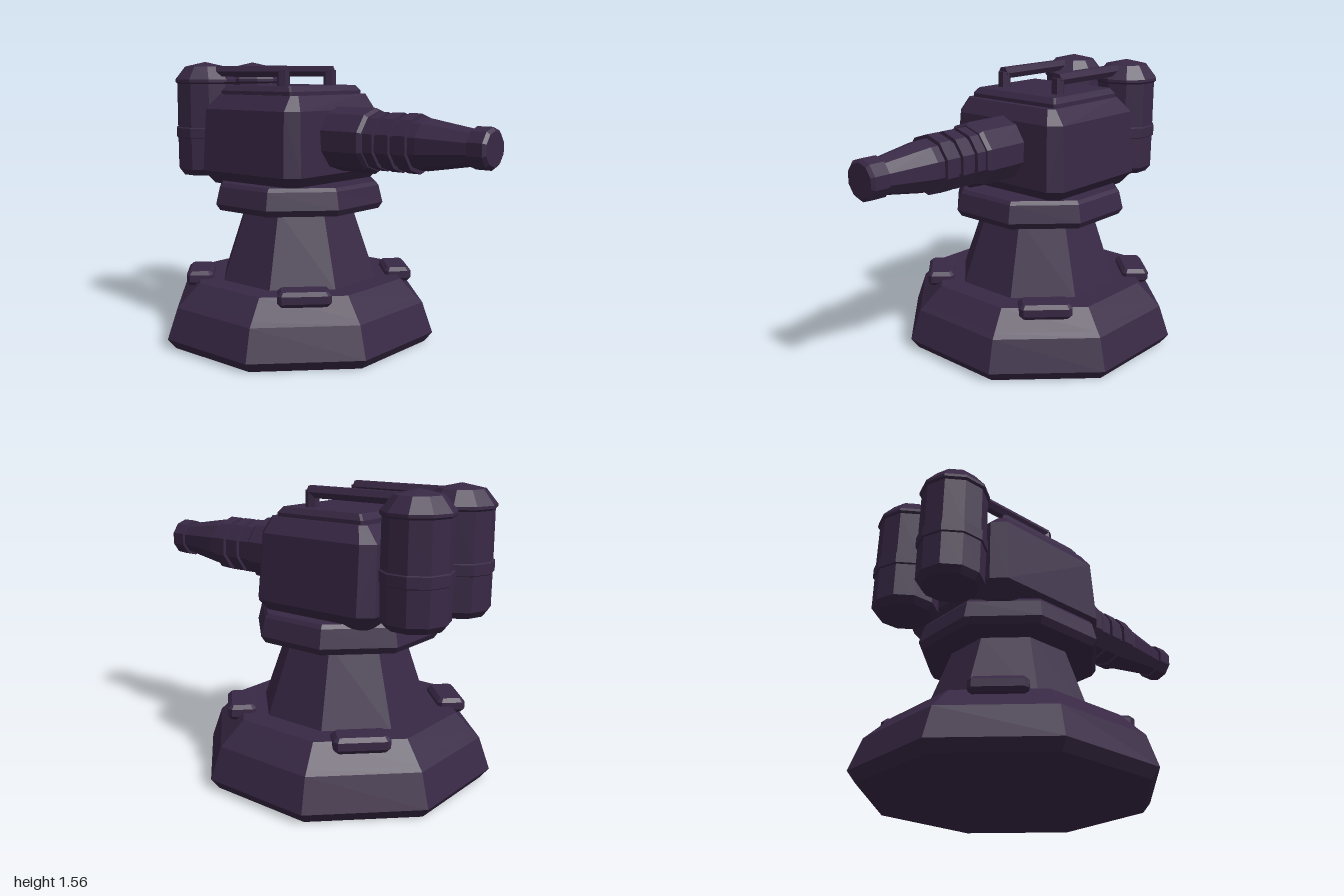
import * as THREE from 'three';
import { ConvexGeometry } from 'three/addons/geometries/ConvexGeometry.js';

const material = new THREE.MeshStandardMaterial({ color: 0x382845, flatShading: true });

function addMesh(parent, name, geometry, x = 0, y = 0, z = 0) {
  const mesh = new THREE.Mesh(geometry, material);
  mesh.name = name;
  mesh.position.set(x, y, z);
  parent.add(mesh);
  return mesh;
}

// Faceted turned solid; profile is [radius, height] from bottom to top
function turned(profile, sides, turn = 0) {
  const points = profile.map(([r, y]) => new THREE.Vector2(r, y));
  return new THREE.LatheGeometry(points, sides).rotateY(turn);
}

// Octagonal solid with flats facing the axes; profile uses flat-to-centre distances
function octagon(profile) {
  const k = 1 / Math.cos(Math.PI / 8);
  return turned(profile.map(([a, y]) => [a * k, y]), 8, Math.PI / 8);
}

// Convex block from rings of [y, x0, x1, halfDepth, cornerCut]
function chamferedBlock(rings) {
  const points = [];
  for (const [y, x0, x1, z, c] of rings) {
    for (const s of [-1, 1]) {
      points.push(
        new THREE.Vector3(x0 + c, y, s * z), new THREE.Vector3(x1 - c, y, s * z),
        new THREE.Vector3(x0, y, s * (z - c)), new THREE.Vector3(x1, y, s * (z - c)));
    }
  }
  return new ConvexGeometry(points);
}

export function createModel() {
  const model = new THREE.Group();
  model.name = 'turret';
  const axis = -0.265;

  // Pedestal
  addMesh(model, 'base', octagon([
    [0, 0], [0.695, 0], [0.735, 0.055], [0.68, 0.225], [0.655, 0.25], [0.56, 0.35], [0, 0.35],
  ]), axis);
  addMesh(model, 'column', octagon([[0.43, 0.34], [0.295, 0.76]]), axis);
  addMesh(model, 'collar', octagon([
    [0, 0.75], [0.44, 0.75], [0.462, 0.785], [0.44, 0.88], [0.425, 0.9], [0, 0.9],
  ]), axis);

  // Four bevelled pads on the diagonals of the base
  for (let i = 0; i < 4; i++) {
    const angle = Math.PI / 4 + i * Math.PI / 2;
    const pad = addMesh(model, 'basePad', chamferedBlock([
      [-0.04, -0.12, 0.12, 0.06, 0.01], [-0.02, -0.14, 0.14, 0.075, 0.02],
      [0.02, -0.14, 0.14, 0.075, 0.02], [0.04, -0.12, 0.12, 0.055, 0.01],
    ]), axis + 0.565 * Math.sin(angle), 0.35, 0.565 * Math.cos(angle));
    pad.rotation.y = angle;
  }

  // Head with a raised roof plate
  addMesh(model, 'head', chamferedBlock([
    [0.88, -0.63, 0.0, 0.335, 0.03], [0.955, -0.69, 0.06, 0.4, 0.065],
    [1.3, -0.68, 0.04, 0.375, 0.06], [1.38, -0.6, 0.0, 0.315, 0.03],
  ]));
  addMesh(model, 'roofPlate', chamferedBlock([
    [1.37, -0.58, -0.04, 0.3, 0.01], [1.4, -0.58, -0.04, 0.3, 0.01],
    [1.43, -0.555, -0.065, 0.28, 0.01],
  ]));

  // Barrel: sleeve, cooling rings, taper and muzzle
  const barrel = turned([
    [0, 0], [0.175, 0], [0.175, 0.29], [0.16, 0.31], [0.135, 0.31],
    [0.135, 0.315], [0.155, 0.315], [0.155, 0.375], [0.135, 0.375],
    [0.135, 0.4], [0.155, 0.4], [0.155, 0.475], [0.135, 0.475],
    [0.135, 0.505], [0.155, 0.505], [0.155, 0.58], [0.135, 0.58],
    [0.135, 0.625], [0.09, 0.9], [0.105, 0.9], [0.105, 0.985], [0.088, 1], [0, 1],
  ], 10, Math.PI / 2).rotateZ(-Math.PI / 2);
  addMesh(model, 'barrel', barrel, 0, 1.143, 0);

  // Rear tanks, each with a pipe running to the roof
  for (const side of [-1, 1]) {
    const z = side * 0.195;
    addMesh(model, 'tank', turned([
      [0, 0.905], [0.145, 0.905], [0.172, 0.94], [0.172, 1.12], [0.181, 1.125],
      [0.181, 1.18], [0.172, 1.185], [0.17, 1.435], [0.181, 1.445], [0.181, 1.46],
      [0.12, 1.535], [0, 1.562],
    ], 10, Math.PI / 10), -0.823, 0, z);
    const pipe = new THREE.CylinderGeometry(0.035, 0.035, 0.56, 6).rotateZ(Math.PI / 2);
    addMesh(model, 'pipe', pipe, -0.46, 1.507, z);
    addMesh(model, 'pipeElbow', new THREE.CylinderGeometry(0.036, 0.036, 0.1, 6), -0.192, 1.465, z);
  }
  return model;
}
